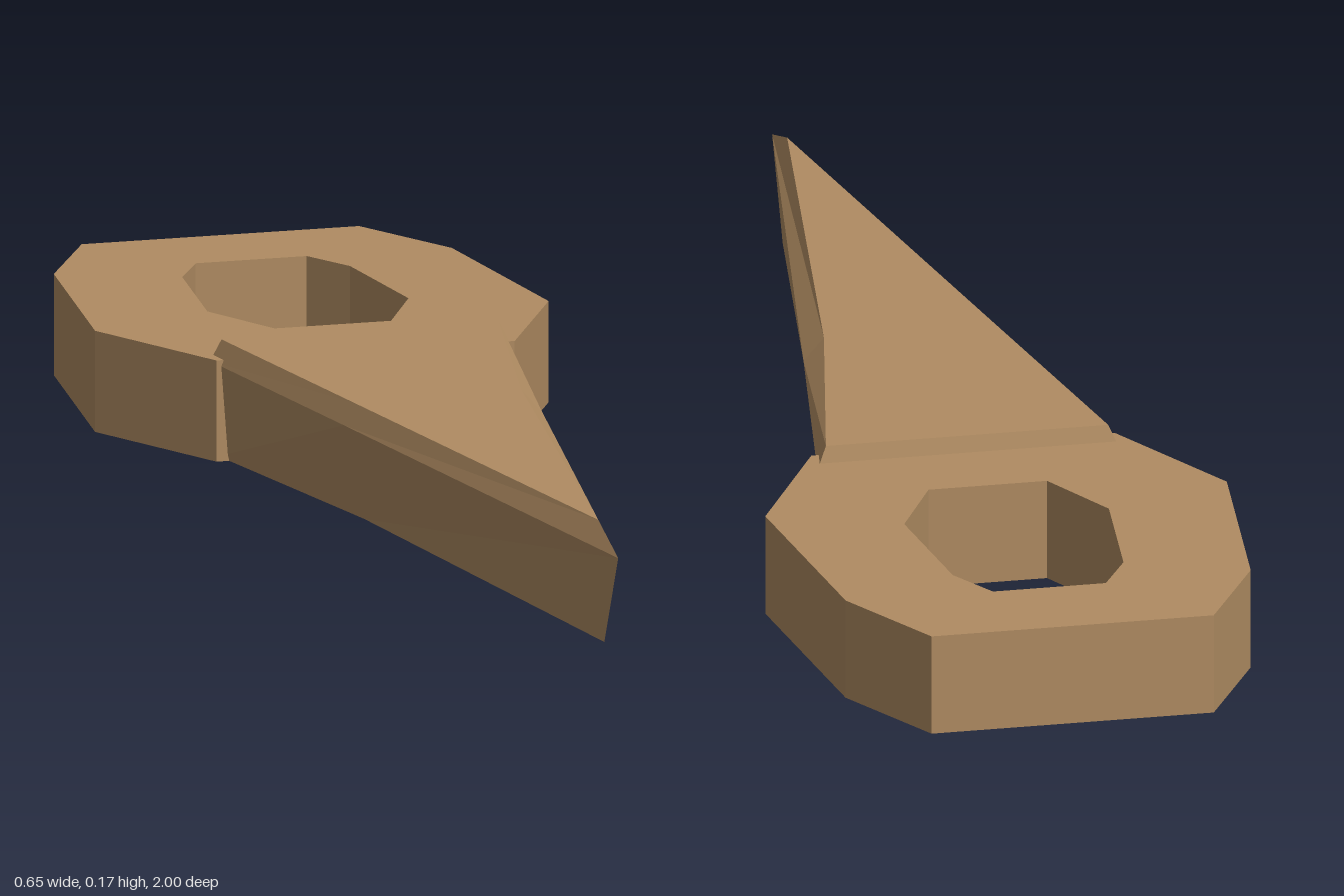
import * as THREE from 'three';

const wood = new THREE.MeshStandardMaterial({ color: 0xb08c62 });
wood.name = 'woodBrown';

// Mirrors half an outline of [x, z] pairs into a counterclockwise ring in shape space (y = -z)
function mirroredRing(half) {
  const right = half.map(([x, z]) => new THREE.Vector2(x, -z)).reverse();
  const left = half.map(([x, z]) => new THREE.Vector2(-x, -z));
  return [...right, ...left];
}

// Eight-sided handle loop with an eight-sided opening
function createHandle() {
  const shape = new THREE.Shape(mirroredRing([[0.2, -1], [0.287, -0.837], [0.327, -0.49], [0.215, -0.27]]));
  shape.holes.push(new THREE.Path(mirroredRing([[0.08, -0.845], [0.121, -0.77], [0.145, -0.56], [0.084, -0.435]])));
  const geometry = new THREE.ExtrudeGeometry(shape, { depth: 0.144, bevelEnabled: false });
  geometry.rotateX(-Math.PI / 2);
  const mesh = new THREE.Mesh(geometry, wood);
  mesh.name = 'handleLoop';
  return mesh;
}

// Tapered spike: three stacked outlines joined by flat faces, slightly uneven along the top
function createSpike() {
  const levels = [
    { y: 0, back: -0.3, width: 0.203, bendRight: 0.114, bendLeft: 0.114, tip: 0.93 },
    { y: 0.135, back: -0.306, width: 0.214, bendRight: 0.143, bendLeft: 0.143, tip: 1 },
    { y: 0.167, back: -0.297, width: 0.2, bendRight: 0.13, bendLeft: 0.114, tip: 0.9 },
  ];
  const bendZ = 0.12;
  const rings = levels.map(({ y, back, width, bendRight, bendLeft, tip }) => [
    [-width, y, back], [-bendRight, y, bendZ], [0, y, tip], [bendLeft, y, bendZ], [width, y, back],
  ]);
  const positions = [];
  const triangle = (a, b, c) => positions.push(...a, ...b, ...c);

  // Side walls and upper chamfer
  for (let level = 0; level < rings.length - 1; level++) {
    const low = rings[level];
    const high = rings[level + 1];
    for (let i = 0; i < low.length; i++) {
      const j = (i + 1) % low.length;
      triangle(low[i], low[j], high[j]);
      triangle(low[i], high[j], high[i]);
    }
  }
  // Top and underside
  const bottom = rings[0];
  const top = rings[rings.length - 1];
  for (const [a, b, c] of [[0, 1, 3], [0, 3, 4], [1, 2, 3]]) {
    triangle(top[a], top[b], top[c]);
    triangle(bottom[a], bottom[c], bottom[b]);
  }

  const geometry = new THREE.BufferGeometry();
  geometry.setAttribute('position', new THREE.Float32BufferAttribute(positions, 3));
  geometry.computeVertexNormals();
  const mesh = new THREE.Mesh(geometry, wood);
  mesh.name = 'spike';
  return mesh;
}

export function createModel() {
  const model = new THREE.Group();
  model.name = 'loopHandledSpike';
  model.add(createHandle(), createSpike());
  return model;
}
